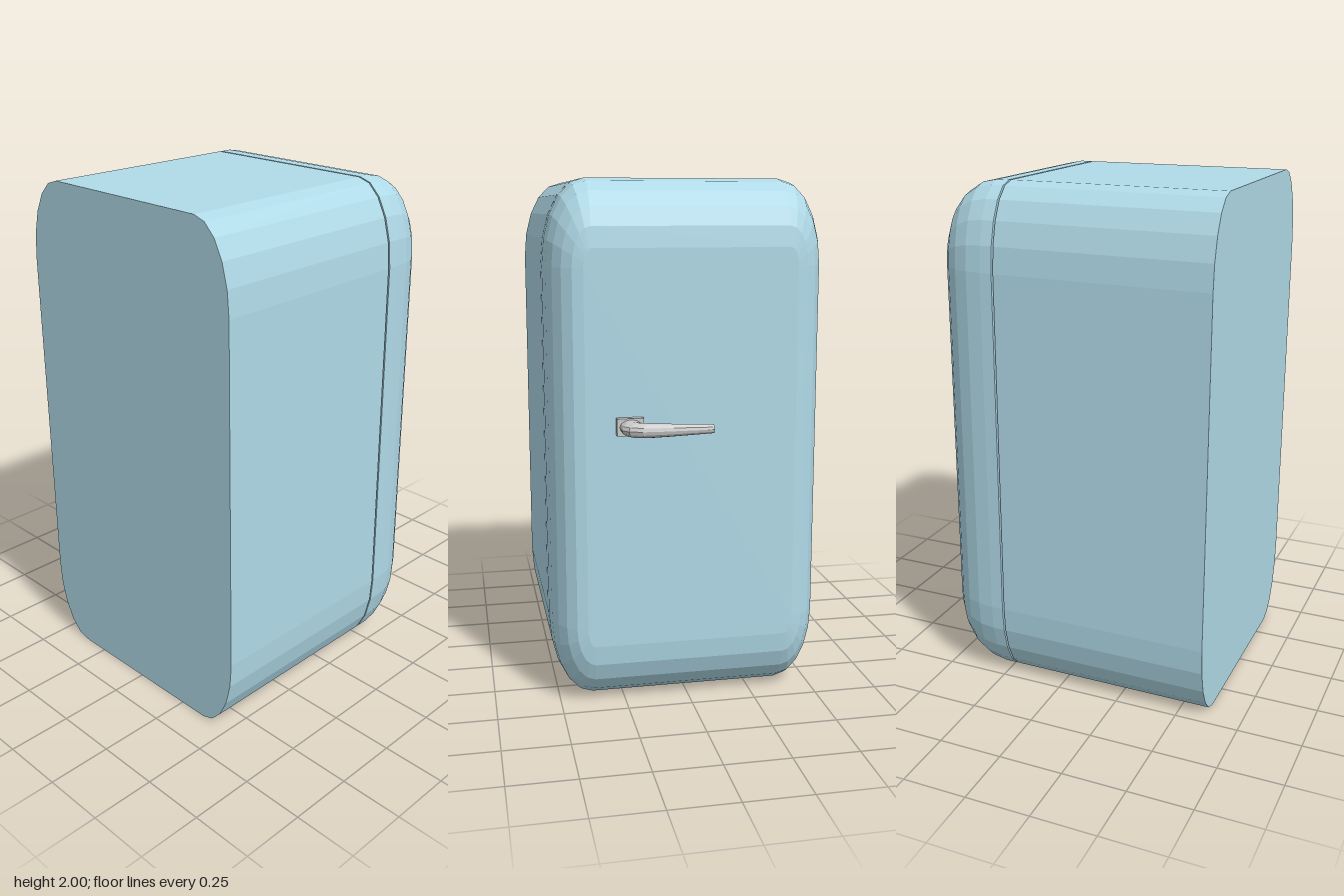
import * as THREE from 'three';

// Closed skin through matching rings of points, with a cap on each end
function loft(rings, material, name) {
  const n = rings[0].length, last = (rings.length - 1) * n;
  const index = [];
  for (let i = 0; i < rings.length - 1; i++) {
    for (let j = 0; j < n; j++) {
      const k = (j + 1) % n;
      const a = i * n + j, b = i * n + k, c = b + n, d = a + n;
      index.push(a, d, c, a, c, b);
    }
  }
  for (let j = 1; j < n - 1; j++) {
    index.push(0, j, j + 1, last, last + j + 1, last + j);
  }
  const indexed = new THREE.BufferGeometry();
  indexed.setAttribute('position', new THREE.Float32BufferAttribute(rings.flat(2), 3));
  indexed.setIndex(index);
  const geometry = indexed.toNonIndexed();
  geometry.computeVertexNormals();
  const mesh = new THREE.Mesh(geometry, material);
  mesh.name = name;
  return mesh;
}

const STEPS = 5;

// Upright cabinet section at x, with elliptical corners, drawn in by insetZ and insetY
function cabinetRing(x, insetZ = 0, insetY = 0) {
  const ring = [];
  const corners = [[1, 1], [-1, 1], [-1, -1], [1, -1]];
  corners.forEach(([sz, sy], q) => {
    for (let i = 0; i <= STEPS; i++) {
      const a = (q + i / STEPS) * Math.PI / 2;
      ring.push([
        x,
        1 + sy * 0.68 + Math.sin(a) * (0.32 - insetY),
        sz * 0.37 + Math.cos(a) * (0.16 - insetZ),
      ]);
    }
  });
  return ring;
}

// Oval handle section spanning an inner and an outer point, given as [x, z]
function handleRing([inner, outer, halfHeight]) {
  const ring = [];
  for (let i = 0; i < 12; i++) {
    const a = i / 12 * Math.PI * 2;
    const t = (1 + Math.cos(a)) / 2;
    ring.push([
      inner[0] + (outer[0] - inner[0]) * t,
      1.103 + Math.sin(a) * halfHeight,
      inner[1] + (outer[1] - inner[1]) * t,
    ]);
  }
  return ring;
}

export function createModel() {
  const model = new THREE.Group();
  model.name = 'refrigerator';
  const enamel = new THREE.MeshStandardMaterial({ color: 0xb0dae8, flatShading: true });
  const metal = new THREE.MeshStandardMaterial({ color: 0xcccccc, flatShading: true });

  // Cabinet and the recessed seal behind the door
  model.add(loft([cabinetRing(-0.61), cabinetRing(0.225)], enamel, 'cabinet'));
  model.add(loft([cabinetRing(0.22, 0.04, 0.08), cabinetRing(0.236, 0.04, 0.08)], enamel, 'doorSeal'));

  // Door with a rounded front rim
  const doorRings = [cabinetRing(0.232)];
  for (let i = 0; i <= STEPS; i++) {
    const a = i / STEPS * Math.PI / 2;
    const inset = 1 - Math.cos(a);
    doorRings.push(cabinetRing(0.28 + 0.2 * Math.sin(a), 0.13 * inset, 0.25 * inset));
  }
  model.add(loft(doorRings, enamel, 'door'));

  // Handle: mounting plate and curved, tapering lever
  const handle = new THREE.Group();
  handle.name = 'handle';
  const plate = new THREE.Mesh(new THREE.BoxGeometry(0.03, 0.065, 0.1), metal);
  plate.name = 'handlePlate';
  plate.position.set(0.491, 1.103, 0.237);
  handle.add(plate);
  const sections = [
    [[0.5, 0.192], [0.5, 0.278], 0.028],
    [[0.53, 0.195], [0.56, 0.278], 0.028],
    [[0.547, 0.18], [0.59, 0.257], 0.028],
    [[0.557, 0.15], [0.606, 0.21], 0.027],
    [[0.563, 0.1], [0.61, 0.12], 0.024],
    [[0.568, -0.055], [0.605, -0.055], 0.017],
  ];
  handle.add(loft(sections.map(handleRing), metal, 'handleLever'));
  model.add(handle);

  return model;
}
